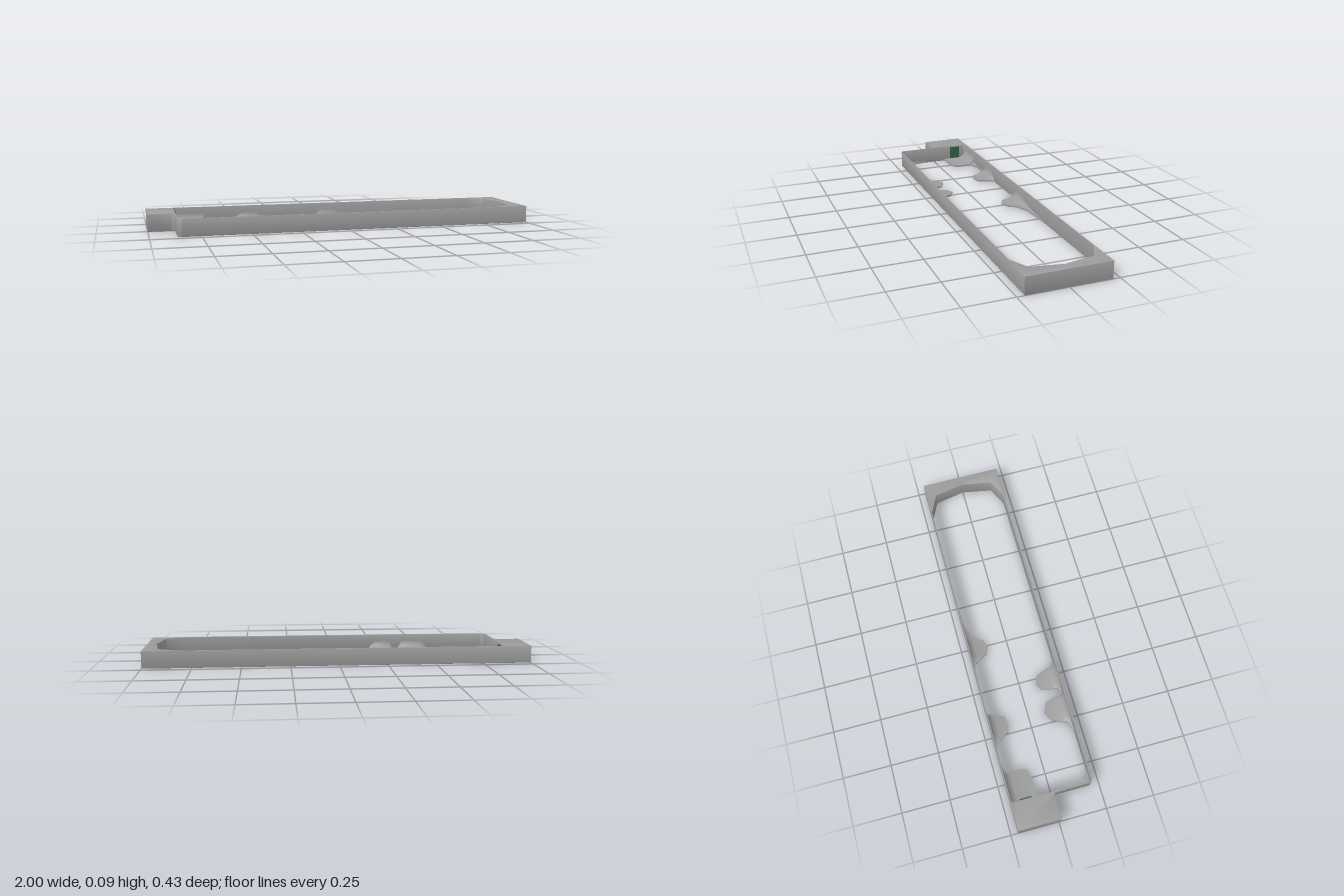
import * as THREE from 'three';
import { toCreasedNormals } from 'three/addons/utils/BufferGeometryUtils.js';

const HEIGHT = 0.09;
const WALL_Z = 0.209; // just inside the inner face of the long walls

// Flat x/z outline extruded upward from y0 (shape y becomes -z).
function slab(shape, y0, height, bevel) {
  const geo = new THREE.ExtrudeGeometry(shape, {
    depth: height - 2 * bevel, bevelEnabled: bevel > 0, bevelSize: bevel,
    bevelThickness: bevel, bevelOffset: -bevel, bevelSegments: 2, curveSegments: 8,
  });
  geo.rotateX(-Math.PI / 2);
  geo.translate(0, y0 + bevel, 0);
  return geo;
}

// Tab along a long wall: stations of [x, reach from wall], with a concave fillet on top.
function filletTab(stations, side) {
  const positions = [], index = [];
  const thick = 0.01, steps = 6, ring = steps + 3;
  for (const [x, reach] of stations) {
    const rise = Math.min(0.05, reach * 0.6);
    const run = Math.min(0.05, reach);
    const section = [];
    for (let k = 0; k <= steps; k++) {
      const a = (k / steps) * Math.PI / 2;
      section.push([run * (1 - Math.cos(a)), thick + rise * (1 - Math.sin(a))]);
    }
    section[steps][0] = reach;
    section.push([reach, 0.001], [0, 0.001]);
    for (const [d, y] of section) positions.push(x, y, side * (WALL_Z - d));
  }
  const tri = (a, b, c) => (side > 0 ? index.push(a, b, c) : index.push(a, c, b));
  for (let i = 0; i < stations.length - 1; i++) {
    for (let j = 0; j < ring; j++) {
      const a = i * ring + j, c = i * ring + (j + 1) % ring;
      tri(a, a + ring, c);
      tri(c, a + ring, c + ring);
    }
  }
  const geo = new THREE.BufferGeometry();
  geo.setAttribute('position', new THREE.Float32BufferAttribute(positions, 3));
  geo.setIndex(index);
  return toCreasedNormals(geo, 0.6);
}

export function createModel() {
  const group = new THREE.Group();
  const grey = new THREE.MeshStandardMaterial({ color: 0x9c9c9c });
  grey.name = 'grey plastic';
  const green = new THREE.MeshStandardMaterial({ color: 0x2f6048 });
  green.name = 'dark green';
  const add = (name, geo, mat = grey) => {
    const mesh = new THREE.Mesh(geo, mat);
    mesh.name = name;
    group.add(mesh);
    return mesh;
  };

  // Frame outline: long rectangle with a block at the back of its -x end
  const outline = new THREE.Shape();
  outline.moveTo(-1, 0.214);
  outline.lineTo(-1, -0.01);
  outline.lineTo(-0.885, -0.01);
  outline.quadraticCurveTo(-0.866, -0.01, -0.866, -0.03);
  outline.lineTo(-0.866, -0.19);
  outline.quadraticCurveTo(-0.866, -0.214, -0.838, -0.214);
  outline.lineTo(1, -0.214);
  outline.lineTo(1, 0.214);
  outline.closePath();

  // Opening: faceted at the +x end, rounded at the -x end
  const opening = new THREE.Path();
  opening.moveTo(-0.858, 0.19);
  opening.quadraticCurveTo(-0.858, 0.208, -0.84, 0.208);
  opening.lineTo(0.82, 0.208);
  for (const [x, z] of [[0.92, 0.16], [0.95, 0], [0.92, -0.16], [0.82, -0.208]]) opening.lineTo(x, z);
  opening.lineTo(-0.835, -0.208);
  opening.quadraticCurveTo(-0.858, -0.208, -0.858, -0.188);
  opening.closePath();
  outline.holes.push(opening);
  add('frame', toCreasedNormals(slab(outline, 0, HEIGHT, 0.002), 0.5));

  // Back wall ledge beside the block, then two tabs
  add('backLedge', filletTab([[-0.86, 0.145], [-0.83, 0.142], [-0.78, 0.14], [-0.72, 0.132], [-0.705, 0.125],
    [-0.698, 0.11], [-0.697, 0.035], [-0.68, 0.02], [-0.65, 0.008], [-0.6, 0]], -1));
  add('backTabOuter', filletTab([[-0.62, 0], [-0.56, 0.008], [-0.53, 0.022], [-0.51, 0.055], [-0.49, 0.088],
    [-0.45, 0.098], [-0.405, 0.088], [-0.39, 0.05], [-0.375, 0.012], [-0.355, 0]], -1));
  add('backTabInner', filletTab([[-0.13, 0], [-0.085, 0.018], [-0.065, 0.05], [-0.05, 0.085], [-0.01, 0.103],
    [0.03, 0.09], [0.045, 0.065], [0.065, 0.045], [0.13, 0.017], [0.22, 0.008], [0.33, 0]], -1));

  // Paired tabs on the front wall
  add('frontTabs', filletTab([[-0.6, 0], [-0.53, 0.015], [-0.51, 0.055], [-0.49, 0.1], [-0.44, 0.124],
    [-0.39, 0.1], [-0.378, 0.055], [-0.365, 0.01], [-0.35, 0.004], [-0.337, 0.012], [-0.325, 0.06],
    [-0.315, 0.105], [-0.275, 0.124], [-0.235, 0.103], [-0.215, 0.05], [-0.2, 0.013], [-0.14, 0]], 1));

  // Thin lip in the front corner at the -x end
  const lip = new THREE.Shape([[-0.86, -0.04], [-0.86, -0.19], [-0.838, -0.209], [-0.78, -0.209], [-0.84, -0.18]]
    .map(([x, y]) => new THREE.Vector2(x, y)));
  add('cornerLip', slab(lip, 0.001, 0.012, 0));

  // Contact plate on the inner face of the block
  add('contactPlate', new THREE.BoxGeometry(0.009, 0.07, 0.06), green).position.set(-0.8555, 0.047, -0.135);

  return group;
}
